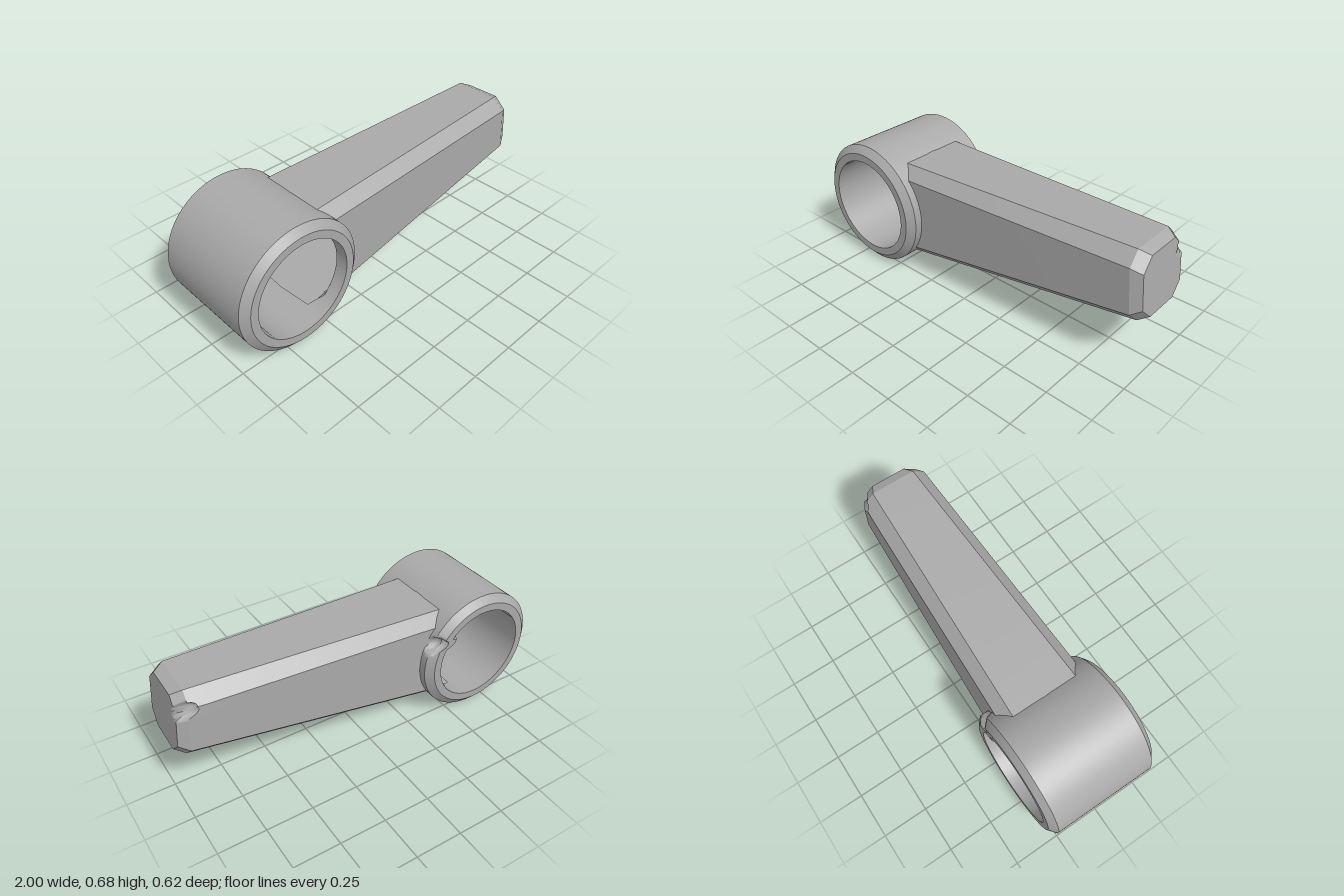
import * as THREE from 'three';
import { mergeGeometries } from 'three/addons/utils/BufferGeometryUtils.js';

const CX = -0.66, CY = 0.342;              // ring axis
const R_OUT = 0.342, R_RIM = 0.302, R_IN = 0.26;
const Z_WALL = 0.277, Z_END = 0.31;
const lerp = THREE.MathUtils.lerp;

// Small round dents pressed in along -x: the ring's back rim and the lever tip
const dents = [
  { y: 0.485, z: -0.277, r: 0.042, minX: -0.46, maxX: -0.3, depth: 0.06 },
  { y: 0.58, z: -0.165, r: 0.036, minX: 0.9, maxX: 1.1, depth: 0.06 },
];
function dent([x, y, z]) {
  for (const d of dents) {
    const q = ((y - d.y) ** 2 + (z - d.z) ** 2) / d.r ** 2;
    if (q < 1 && x > d.minX && x < d.maxX) return [x - d.depth * Math.sqrt(1 - q), y, z];
  }
  return [x, y, z];
}

// Surface patch from f(u, v), both 0..1
function grid(f, nu, nv) {
  const pos = [], index = [];
  for (let j = 0; j <= nv; j++)
    for (let i = 0; i <= nu; i++) pos.push(...dent(f(i / nu, j / nv)));
  for (let j = 0; j < nv; j++)
    for (let i = 0; i < nu; i++) {
      const a = j * (nu + 1) + i, b = a + nu + 1;
      index.push(a, a + 1, b, a + 1, b + 1, b);
    }
  const g = new THREE.BufferGeometry();
  g.setAttribute('position', new THREE.Float32BufferAttribute(pos, 3));
  g.setIndex(index);
  g.computeVertexNormals();
  return g;
}

// Half width of the opening where the hollow lever meets a ring wall
function opening(angle, radius, maxAngle, margin) {
  if (Math.abs(angle) > maxAngle) return 0;
  const y = CY + radius * Math.sin(angle);
  return 0.238 - margin - Math.max(0, 0.145 - y, y - 0.56);
}

// Band of the ring; edge(angle) gives [radius, z] for its start and end
function band(edge, nv) {
  return grid((u, v) => {
    const t = (u * 2 - 1) * Math.PI;
    const [r0, z0, r1, z1] = edge(t);
    const r = lerp(r0, r1, v);
    return [CX + r * Math.cos(t), CY + r * Math.sin(t), lerp(z0, z1, v)];
  }, 144, nv);
}

function ringGeometry() {
  const outer = (t) => opening(t, R_OUT, 0.92, 0.008);
  const inner = (t) => opening(t, R_IN, 1.22, 0);
  return mergeGeometries([
    // outer wall, either side of the lever
    band((t) => [R_OUT, outer(t), R_OUT, Z_WALL], 4),
    band((t) => [R_OUT, -Z_WALL, R_OUT, -outer(t)], 4),
    // bore
    band((t) => [R_IN, Z_END, R_IN, inner(t)], 2),
    band((t) => [R_IN, -inner(t), R_IN, -Z_END], 2),
    // chamfers
    band(() => [R_OUT, Z_WALL, R_RIM, Z_END], 5),
    band(() => [R_RIM, -Z_END, R_OUT, -Z_WALL], 5),
    // end faces
    band(() => [R_RIM, Z_END, R_IN, Z_END], 3),
    band(() => [R_IN, -Z_END, R_RIM, -Z_END], 3),
  ]);
}

// Octagon [y, z] from top and side corner values
function octagon(top, topZ, up, low, sideZ, bottom, bottomZ, xOf) {
  return [
    [top, -topZ], [top, topZ], [up, sideZ], [low, sideZ],
    [bottom, bottomZ], [bottom, -bottomZ], [low, -sideZ], [up, -sideZ],
  ].map(([y, z]) => new THREE.Vector3(xOf(y), y, z));
}

function leverGeometry() {
  const root = octagon(0.622, 0.178, 0.56, 0.151, 0.238, 0.086, 0.174, () => -0.4);
  const neck = octagon(0.66, 0.122, 0.595, 0.357, 0.187, 0.293, 0.122, (y) => 0.95 - (y - 0.293) * 0.095);
  const tip = octagon(0.637, 0.095, 0.572, 0.388, 0.16, 0.323, 0.095, (y) => 1 - (y - 0.323) * 0.095);
  const center = new THREE.Vector3(0.985, 0.48, 0);
  const parts = [];
  for (let i = 0; i < 8; i++) {
    const k = (i + 1) % 8;
    const along = (loop, u) => loop[i].clone().lerp(loop[k], u);
    // long face, trimmed to the ring's bore
    parts.push(grid((u, v) => {
      const a = along(root, u), b = along(neck, u);
      let t = 0;
      for (let n = 0; n < 6; n++) {
        const dy = lerp(a.y, b.y, t) - CY;
        const x = CX + Math.sqrt(Math.max(R_IN ** 2 - dy * dy, 0.008));
        t = (x - a.x) / (b.x - a.x);
      }
      return a.lerp(b, lerp(t, 1, v)).toArray();
    }, 14, 16));
    // bevel and end face
    parts.push(grid((u, v) => along(neck, u).lerp(along(tip, u), v).toArray(), 14, 3));
    parts.push(grid((u, v) => along(tip, u).lerp(center, v).toArray(), 14, 8));
  }
  return mergeGeometries(parts);
}

export function createModel() {
  const gray = new THREE.MeshStandardMaterial({ color: 0xa9a9a9, side: THREE.DoubleSide });
  gray.name = 'gray';
  const model = new THREE.Group();
  model.name = 'leverArm';
  const ring = new THREE.Mesh(ringGeometry(), gray);
  ring.name = 'ring';
  const lever = new THREE.Mesh(leverGeometry(), gray);
  lever.name = 'lever';
  model.add(ring, lever);
  return model;
}
